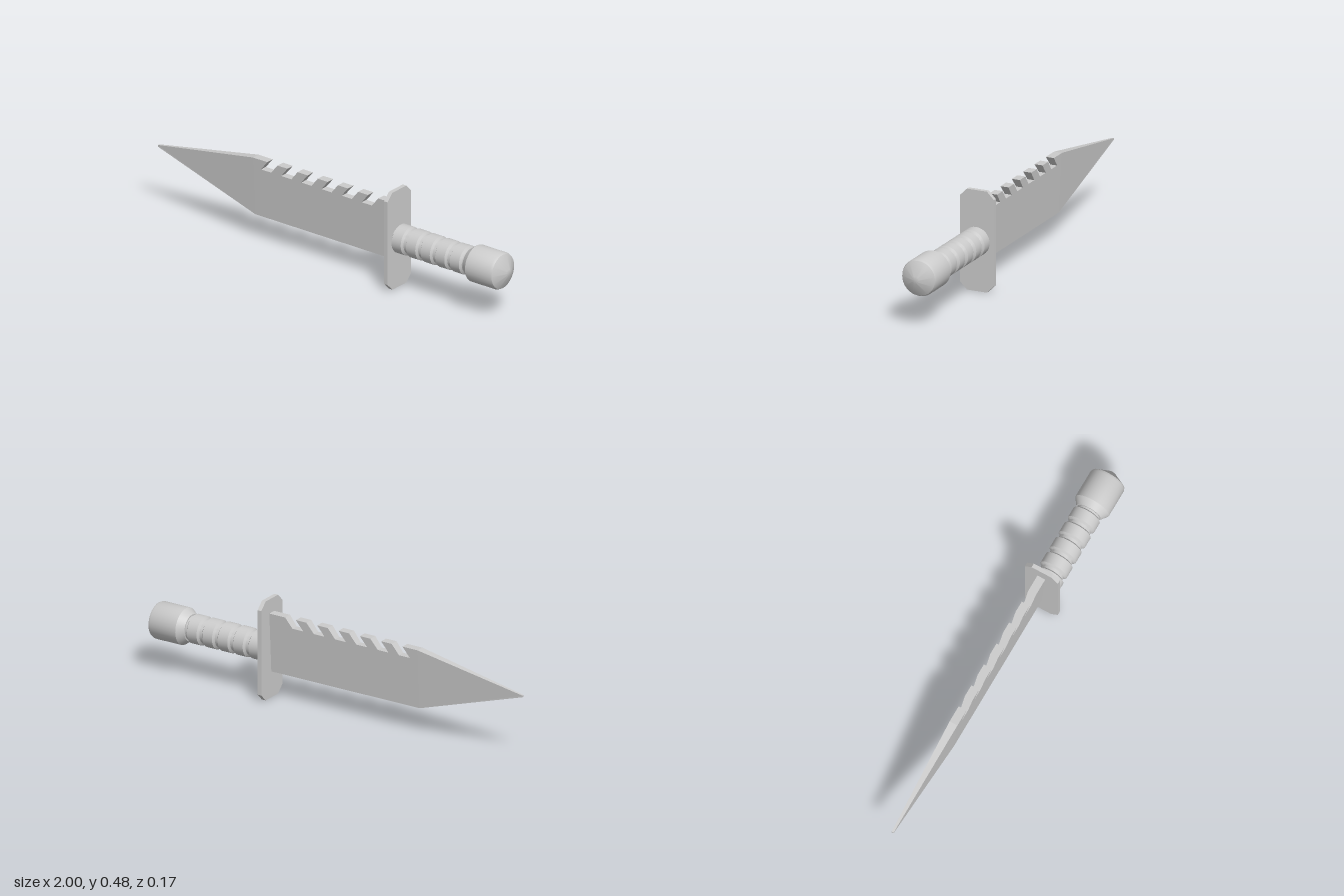
import * as THREE from 'three';
import { toCreasedNormals } from 'three/addons/utils/BufferGeometryUtils.js';

const AXIS_Y = 0.239;
const EDGE_Y = 0.125, SPINE_Y = 0.41, SHOULDER_X = -0.445;

const flat = new THREE.MeshStandardMaterial({ color: 0xcccccc, flatShading: true });
const smooth = new THREE.MeshStandardMaterial({ color: 0xcccccc });

function addMesh(group, name, geometry, material) {
  const mesh = new THREE.Mesh(geometry, material);
  mesh.name = name;
  group.add(mesh);
}

function extrude(points, depth) {
  const shape = new THREE.Shape(points.map(([x, y]) => new THREE.Vector2(x, y)));
  return new THREE.ExtrudeGeometry(shape, { depth, bevelEnabled: false }).translate(0, 0, -depth / 2);
}

// Blade thickness: thick spine, thin cutting edge, narrowing to the point
function bladeHalfThickness(x, y) {
  const body = THREE.MathUtils.mapLinear(y, EDGE_Y, SPINE_Y, 0.004, 0.02);
  const t = THREE.MathUtils.clamp((SHOULDER_X - x) / (1 + SHOULDER_X), 0, 1);
  return THREE.MathUtils.lerp(body, 0.005, t);
}

function bladePart(points) {
  const geometry = extrude(points, 2);
  const p = geometry.attributes.position;
  for (let i = 0; i < p.count; i++) {
    p.setZ(i, Math.sign(p.getZ(i)) * bladeHalfThickness(p.getX(i), p.getY(i)));
  }
  geometry.computeVertexNormals();
  return geometry;
}

// Solid of revolution along x; profile is [x, radius]
function turned(profile) {
  const geometry = new THREE.LatheGeometry(profile.map(([x, r]) => new THREE.Vector2(r, x)), 32);
  geometry.rotateZ(-Math.PI / 2).translate(0, AXIS_Y, 0);
  return toCreasedNormals(geometry, 0.5);
}

export function createModel() {
  const model = new THREE.Group();
  model.name = 'knife';

  // Blade body with six slanted notches in the spine
  const outline = [[SHOULDER_X, EDGE_Y], [0.36, EDGE_Y], [0.36, SPINE_Y]];
  for (let i = 5; i >= 0; i--) {
    const x = -0.363 + i * 0.115;
    outline.push([x + 0.058, SPINE_Y], [x + 0.02, 0.363], [x - 0.038, 0.363], [x, SPINE_Y]);
  }
  outline.push([SHOULDER_X, SPINE_Y]);
  addMesh(model, 'blade', bladePart(outline), flat);

  // Tapering point
  addMesh(model, 'bladeTip', bladePart([
    [SHOULDER_X, EDGE_Y], [SHOULDER_X, SPINE_Y], [-1, 0.31], [-1, 0.302],
  ]), flat);

  // Guard plate with clipped corners
  const guard = extrude([
    [-0.05, 0], [0.05, 0], [0.085, 0.035], [0.085, 0.443],
    [0.05, 0.478], [-0.05, 0.478], [-0.085, 0.443], [-0.085, 0.035],
  ], 0.02);
  guard.rotateY(Math.PI / 2).translate(0.365, 0, 0);
  addMesh(model, 'guard', guard, flat);

  // Grip: five chamfered rings separated by grooves
  const grip = [[0.365, 0.057]];
  for (let i = 0; i < 5; i++) {
    const x = 0.376 + i * 0.083;
    grip.push([x, 0.057], [x + 0.008, 0.068], [x + 0.06, 0.068], [x + 0.068, 0.057]);
  }
  grip.push([0.8, 0.057]);
  addMesh(model, 'grip', turned(grip), smooth);

  // Pommel with a blunt conical end
  addMesh(model, 'pommel', turned([
    [0.785, 0], [0.785, 0.063], [0.818, 0.087], [0.955, 0.087],
    [0.966, 0.082], [1, 0.018], [1, 0],
  ]), smooth);

  return model;
}
